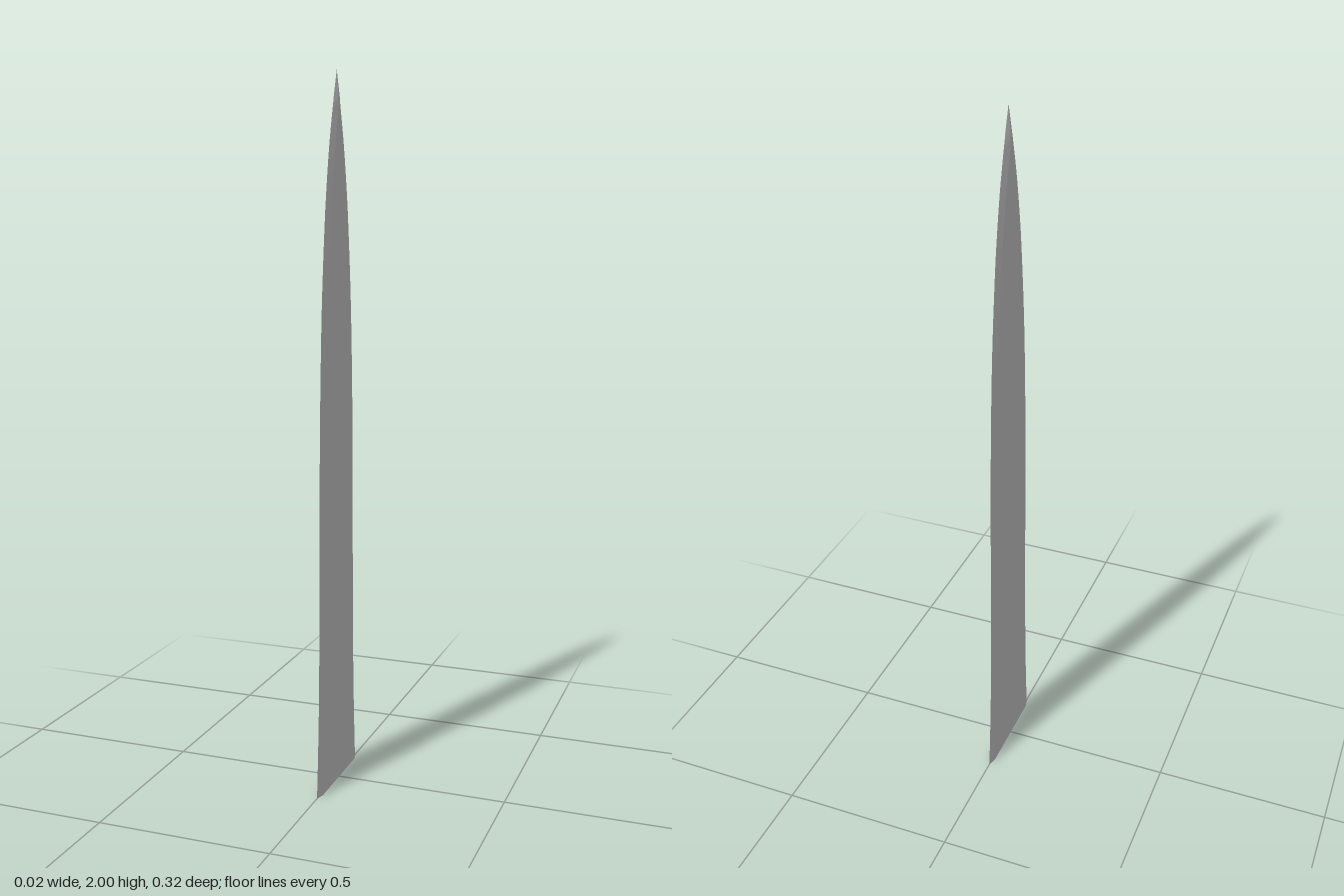
import * as THREE from 'three';
import { toCreasedNormals } from 'three/addons/utils/BufferGeometryUtils.js';

const THICK = 0.008;   // half thickness of the blade
const BEVEL = 0.025;   // width of the sharpened edge
const GROOVE = { from: 0.4, to: 1.54, half: 0.036, depth: 0.004 };

// Outline of one edge: half width, height
const outline = new THREE.SplineCurve([
  [0.16, 0], [0.147, 0.2], [0.14, 0.4], [0.136, 0.65], [0.133, 0.95], [0.125, 1.2],
  [0.113, 1.4], [0.092, 1.6], [0.075, 1.71], [0.055, 1.81], [0.028, 1.91], [0, 2],
].map(([w, y]) => new THREE.Vector2(w, y)));

// Closed cross-section: edge, bevel, flat and groove on each side
function section(w, y) {
  const flat = Math.max(w - BEVEL, w * 0.2);
  const t = THICK * Math.min(1, w / BEVEL);
  const u = THREE.MathUtils.clamp((y - GROOVE.from) / (GROOVE.to - GROOVE.from), 0, 1);
  const swell = Math.sqrt(Math.max(0, Math.sin(Math.PI * u)));
  const g = Math.min(0.005 + (GROOVE.half - 0.005) * swell, flat * 0.6);
  const d = GROOVE.depth * swell;
  const face = [
    [t, flat], [t, g], [t - d * 0.75, g / 2], [t - d, 0],
    [t - d * 0.75, -g / 2], [t, -g], [t, -flat],
  ];
  const half = [[0, w], ...face];
  return [...half, ...half.map(([x, z]) => [-x, -z])].map(([x, z]) => new THREE.Vector3(x, y, z));
}

function bladeGeometry() {
  const rings = outline.getPoints(66).map((p) => section(Math.max(p.x, 0), p.y));
  const n = rings[0].length;
  const positions = [];
  const tri = (...pts) => pts.forEach((p) => positions.push(p.x, p.y, p.z));

  // Sides, closing to a point at the top
  for (let r = 0; r < rings.length - 1; r++) {
    const a = rings[r], b = rings[r + 1];
    for (let i = 0; i < n; i++) {
      const j = (i + 1) % n;
      tri(a[i], a[j], b[j]);
      if (r < rings.length - 2) tri(a[i], b[j], b[i]);
    }
  }

  // Flat base
  const base = rings[0], centre = new THREE.Vector3();
  for (let i = 0; i < n; i++) tri(centre, base[(i + 1) % n], base[i]);

  const geometry = new THREE.BufferGeometry();
  geometry.setAttribute('position', new THREE.Float32BufferAttribute(positions, 3));
  return toCreasedNormals(geometry, 0.2);
}

export function createModel() {
  const model = new THREE.Group();
  model.name = 'bladeModel';
  const blade = new THREE.Mesh(bladeGeometry(), new THREE.MeshStandardMaterial({ color: 0xcccccc }));
  blade.name = 'blade';
  model.add(blade);
  return model;
}
